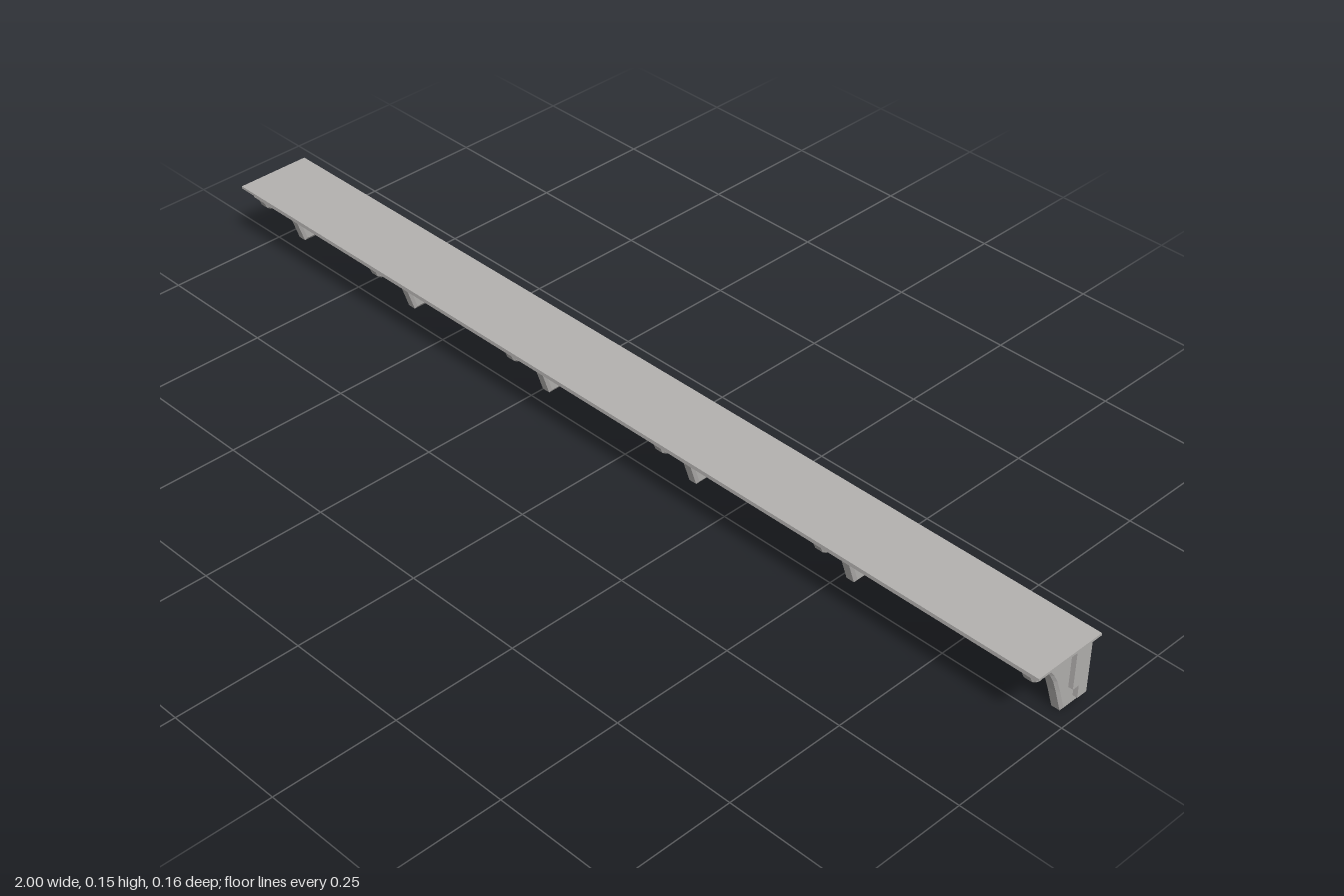
import * as THREE from 'three';

const BACK = -0.078, BOARD = -0.04, HALF = 0.985;
const stone = new THREE.MeshStandardMaterial({ color: 0xb4b2b0, side: THREE.DoubleSide });
stone.name = 'warmGrey';

// Flat-faced surface through rows of equally many [x, y, z] points
function loft(rows) {
  const pos = [];
  for (let i = 0; i + 1 < rows.length; i++) {
    for (let j = 0; j + 1 < rows[i].length; j++) {
      const a = rows[i][j], b = rows[i][j + 1], c = rows[i + 1][j + 1], d = rows[i + 1][j];
      pos.push(...a, ...b, ...c, ...a, ...c, ...d);
    }
  }
  const g = new THREE.BufferGeometry();
  g.setAttribute('position', new THREE.Float32BufferAttribute(pos, 3));
  g.computeVertexNormals();
  return g;
}

const toShape = (pts) => new THREE.Shape(pts.map(([a, b]) => new THREE.Vector2(a, b)));
// Row of [z, y] profile points standing at a given x
const rowAt = (pts, x) => pts.map(([z, y]) => [x, y, z]);
// Flat side wall from a [z, y] outline
const sideWall = (pts, x) =>
  new THREE.ShapeGeometry(toShape(pts)).rotateY(-Math.PI / 2).translate(x, 0, 0);

function add(parent, name, geometry) {
  const mesh = new THREE.Mesh(geometry, stone);
  mesh.name = name;
  parent.add(mesh);
  return mesh;
}

// Hollow scroll bracket with bevelled edges
function createBracket(x) {
  const bracket = new THREE.Group();
  bracket.name = 'bracket';
  const w = 0.0125, bevel = 0.004;
  const inner = [[0.058, 0.128], [0.052, 0.116], [0.046, 0.111], [0.037, 0.109], [0.028, 0.111],
    [0.021, 0.116], [0.014, 0.113], [0.002, 0.097], [-0.008, 0.079], [-0.02, 0.048], [-0.034, 0.006], [-0.075, 0.006]];
  const outer = [[0.061, 0.128], [0.055, 0.114], [0.047, 0.108], [0.037, 0.106], [0.027, 0.108],
    [0.02, 0.114], [0.016, 0.109], [0.008, 0.098], [-0.002, 0.08], [-0.0125, 0.052], [-0.03, 0], [-0.075, 0]];
  add(bracket, 'bracketFront', loft([
    rowAt(inner, -w), rowAt(outer, -w + bevel), rowAt(outer, w - bevel), rowAt(inner, w)]));
  const wall = [...inner, [-0.075, 0.128]];
  for (const s of [-1, 1]) add(bracket, 'bracketSide', sideWall(wall, s * w));
  bracket.position.x = x;
  return bracket;
}

// Tongue-shaped outline of a dentil, running from its top left round to its top right
function dentilOutline(x) {
  const r = 0.009, pts = [[x - r, 0.128]];
  for (let i = 0; i <= 6; i++) {
    const a = Math.PI + (i / 6) * Math.PI;
    pts.push([x + r * Math.cos(a), 0.119 + r * Math.sin(a)]);
  }
  pts.push([x + r, 0.128]);
  return pts;
}

export function createModel() {
  const model = new THREE.Group();
  model.name = 'bracketedCornice';

  // Shelf: top plate and mitred moulding, open at the back
  const ring = (hx, zf, y) => [[-hx, y, BACK], [-hx, y, zf], [hx, y, zf], [hx, y, BACK]];
  add(model, 'shelfTop', loft([
    [[-1, 0.153, BACK], [-1, 0.153, 0.078]],
    [[1, 0.153, BACK], [1, 0.153, 0.078]]]));
  add(model, 'shelfMoulding', loft([
    ring(1, 0.078, 0.153), ring(1, 0.078, 0.148), ring(0.99, 0.068, 0.138),
    ring(HALF, 0.062, 0.138), ring(HALF, 0.062, 0.128)]));
  const soffit = [[0.062, 0.128], [BOARD, 0.128]];
  add(model, 'soffit', loft([rowAt(soffit, -HALF), rowAt(soffit, HALF)]));

  // Brackets
  const bracketX = [-0.963, -0.625, -0.242, 0.142, 0.519, 0.963];
  for (const x of bracketX) model.add(createBracket(x));

  // Dentils evenly spaced in each bay, opening through the backboard
  const board = toShape([[-HALF, 0.047], [HALF, 0.047], [HALF, 0.128], [-HALF, 0.128]]);
  for (let b = 0; b + 1 < bracketX.length; b++) {
    const start = bracketX[b] + 0.0125, span = bracketX[b + 1] - 0.0125 - start;
    const count = Math.round(span / 0.037);
    for (let i = 0; i < count; i++) {
      const pts = dentilOutline(start + ((i + 0.5) * span) / count);
      const front = BOARD + 0.015;
      add(model, 'dentilFace', new THREE.ShapeGeometry(toShape(pts)).translate(0, 0, front));
      add(model, 'dentilRim', loft([BOARD, front].map((z) => pts.map(([x, y]) => [x, y, z]))));
      const hole = pts.map(([x, y]) => new THREE.Vector2(x, Math.min(y, 0.1275)));
      board.holes.push(new THREE.Path(hole));
    }
  }
  add(model, 'backboard', new THREE.ShapeGeometry(board).translate(0, 0, BOARD));

  // Stepped lower rail and its end walls
  const step = [[BOARD, 0.047], [-0.055, 0.047], [-0.055, 0.02], [BACK, 0.02]];
  add(model, 'lowerRail', loft([rowAt(step, -HALF), rowAt(step, HALF)]));
  for (const s of [-1, 1]) {
    add(model, 'endWall', sideWall([[BACK, 0.138], [0.062, 0.138], [0.062, 0.128], [BOARD, 0.128], ...step], s * HALF));
  }
  return model;
}
